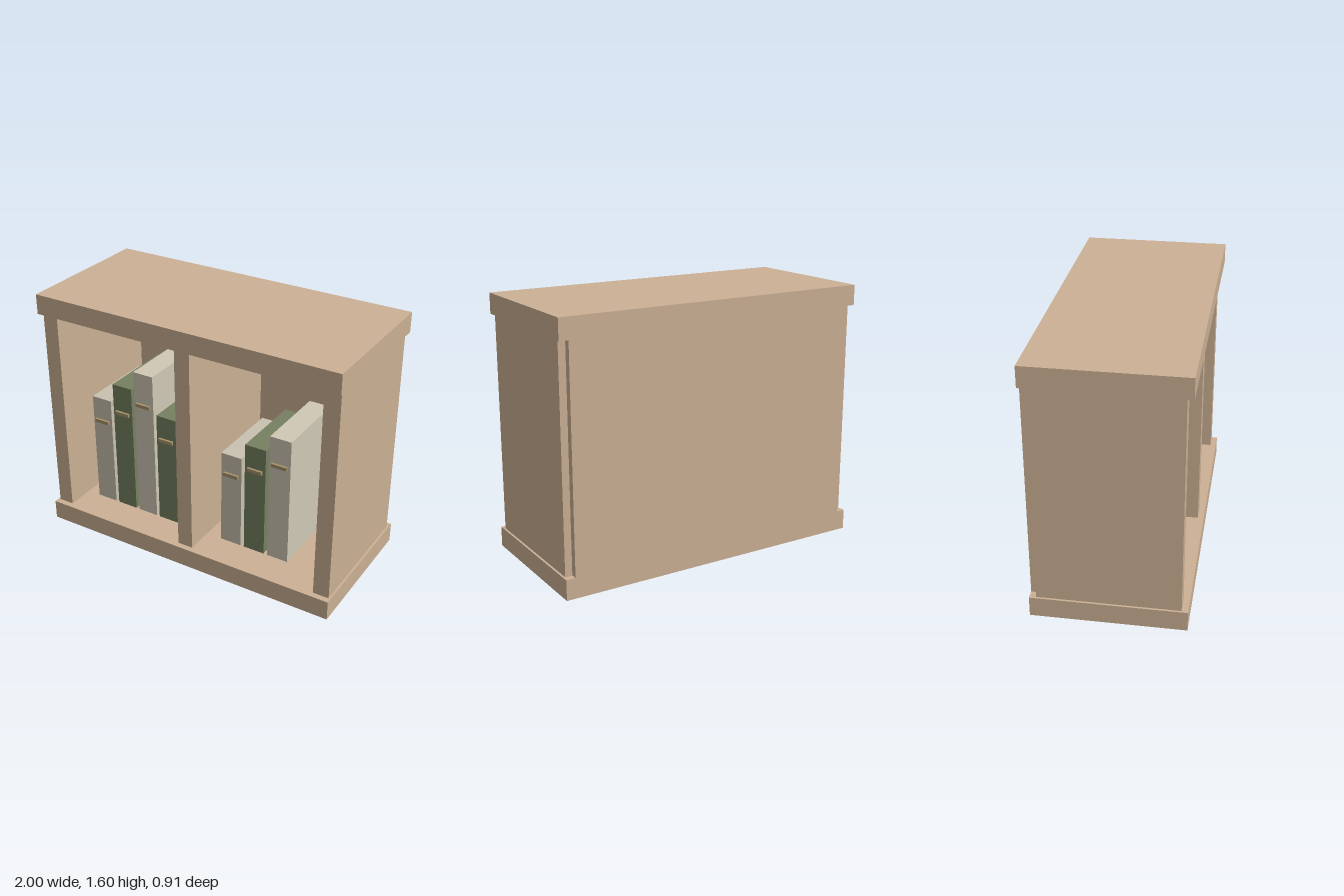
import * as THREE from 'three';

const material = (color) => new THREE.MeshStandardMaterial({ color });

// Box given by its min/max extents on each axis
function box(name, mat, [x0, x1], [y0, y1], [z0, z1]) {
  const mesh = new THREE.Mesh(new THREE.BoxGeometry(x1 - x0, y1 - y0, z1 - z0), mat);
  mesh.position.set((x0 + x1) / 2, (y0 + y1) / 2, (z0 + z1) / 2);
  mesh.name = name;
  return mesh;
}

export function createModel() {
  const model = new THREE.Group();
  model.name = 'bookcase';

  const wood = material(0xcbb094);
  const green = material(0x768060);
  const cream = material(0xc9c1af);
  const ivory = material(0xd0c8b6);
  const brass = material(0xa59169);

  const slab = 0.125, height = 1.595, depth = 0.457;
  const inner = [slab, height - slab];

  // Base and top slabs, overhanging the carcass
  model.add(box('base', wood, [-1, 1], [0, slab], [-depth, depth]));
  model.add(box('top', wood, [-1, 1], [height - slab, height], [-depth, depth]));

  // Upright boards and back panel
  const boardZ = [-0.417, 0.42];
  model.add(box('rightSide', wood, [-0.987, -0.886], inner, boardZ));
  model.add(box('leftSide', wood, [0.886, 0.987], inner, boardZ));
  model.add(box('divider', wood, [-0.05, 0.05], inner, boardZ));
  model.add(box('backPanel', wood, [-0.943, 0.943], inner, [-depth, -0.417]));

  // Books: centre x, top y, cover; each with a raised band on the spine
  const books = [
    [-0.723, 0.875, cream], [-0.561, 1.003, green], [-0.399, 1.13, ivory], [-0.238, 0.875, green],
    [0.227, 0.757, cream], [0.39, 0.864, green], [0.553, 0.97, ivory],
  ];
  const bottom = 0.13;
  for (const [x, top, cover] of books) {
    const book = new THREE.Group();
    book.name = 'book';
    const bandY = bottom + (top - bottom) * 0.785;
    book.add(box('cover', cover, [x - 0.07, x + 0.07], [bottom, top], [-0.25, 0.248]));
    book.add(box('spineBand', brass, [x - 0.05, x + 0.05], [bandY - 0.011, bandY + 0.011], [0.24, 0.264]));
    model.add(book);
  }
  return model;
}
